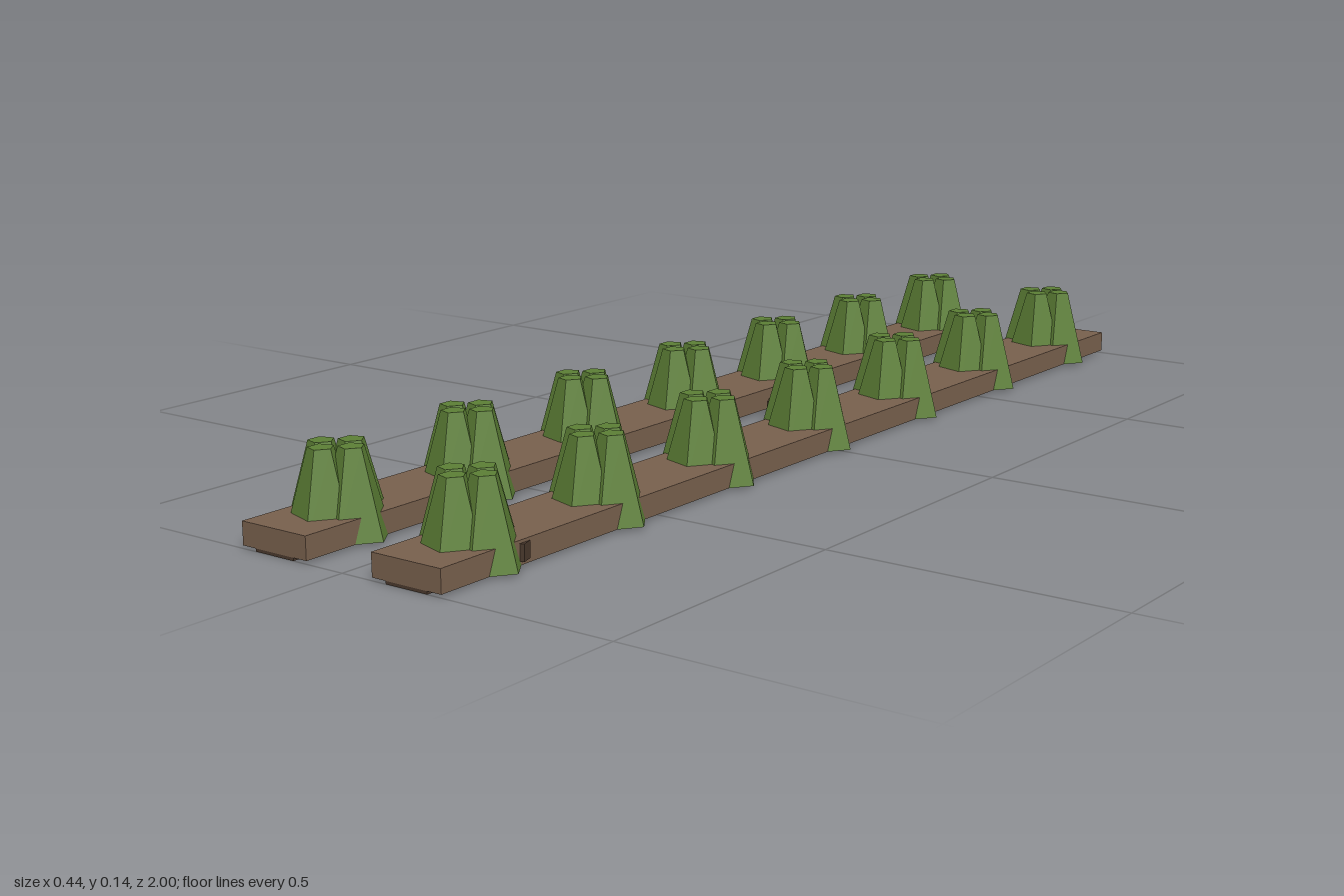
import * as THREE from 'three';

export function createModel() {
  const group = new THREE.Group();
  group.name = 'cropRows';
  const mat = (name, color) => {
    const m = new THREE.MeshStandardMaterial({ color, flatShading: true });
    m.name = name;
    return m;
  };
  const soil = mat('soil brown', 0x78604d);
  const darkSoil = mat('dark soil', 0x4a392d);
  const leafGreen = mat('leaf green', 0x5c7f35);

  const add = (parent, name, geometry, material, x, y, z) => {
    const mesh = new THREE.Mesh(geometry, material);
    mesh.name = name;
    mesh.position.set(x, y, z);
    parent.add(mesh);
    return mesh;
  };

  const bedGeo = new THREE.BoxGeometry(0.134, 0.038, 2);
  const footGeo = new THREE.BoxGeometry(0.08, 0.005, 2);
  // Five-sided tapered leaf with one corner toward +x
  const leafGeo = new THREE.CylinderGeometry(0.021, 0.06, 0.14, 5, 1, false, Math.PI / 2);
  const offset = 0.032;

  for (const [side, x] of [['right', -0.14], ['left', 0.127]]) {
    // Raised soil bed with a narrow strip beneath
    add(group, side + 'Bed', bedGeo, soil, x, 0.024, 0);
    add(group, side + 'BedFoot', footGeo, darkSoil, x, 0.0025, 0);

    // Seven plants, each a cross of four leaves
    for (let i = -3; i <= 3; i++) {
      const plant = new THREE.Group();
      plant.name = side + 'Plant' + (i + 4);
      plant.position.set(x, 0.075, i * 0.289);
      for (const [dx, dz] of [[1, 0], [-1, 0], [0, 1], [0, -1]]) {
        add(plant, 'leaf', leafGeo, leafGreen, dx * offset, 0, dz * offset);
      }
      group.add(plant);
    }
  }

  // Loose clods scattered along the furrow: x, z, turn
  const clodGeo = new THREE.BoxGeometry(0.03, 0.027, 0.03);
  for (const [x, z, turn] of [
    [-0.062, -0.305, 0.9], [-0.02, -0.117, 0.5], [0.018, 0.18, 0.1],
    [0.066, 0.48, 0.7], [0.182, 0.823, 0.3],
  ]) {
    add(group, 'clod', clodGeo, darkSoil, x, 0.0245, z).rotation.y = turn;
  }
  return group;
}
